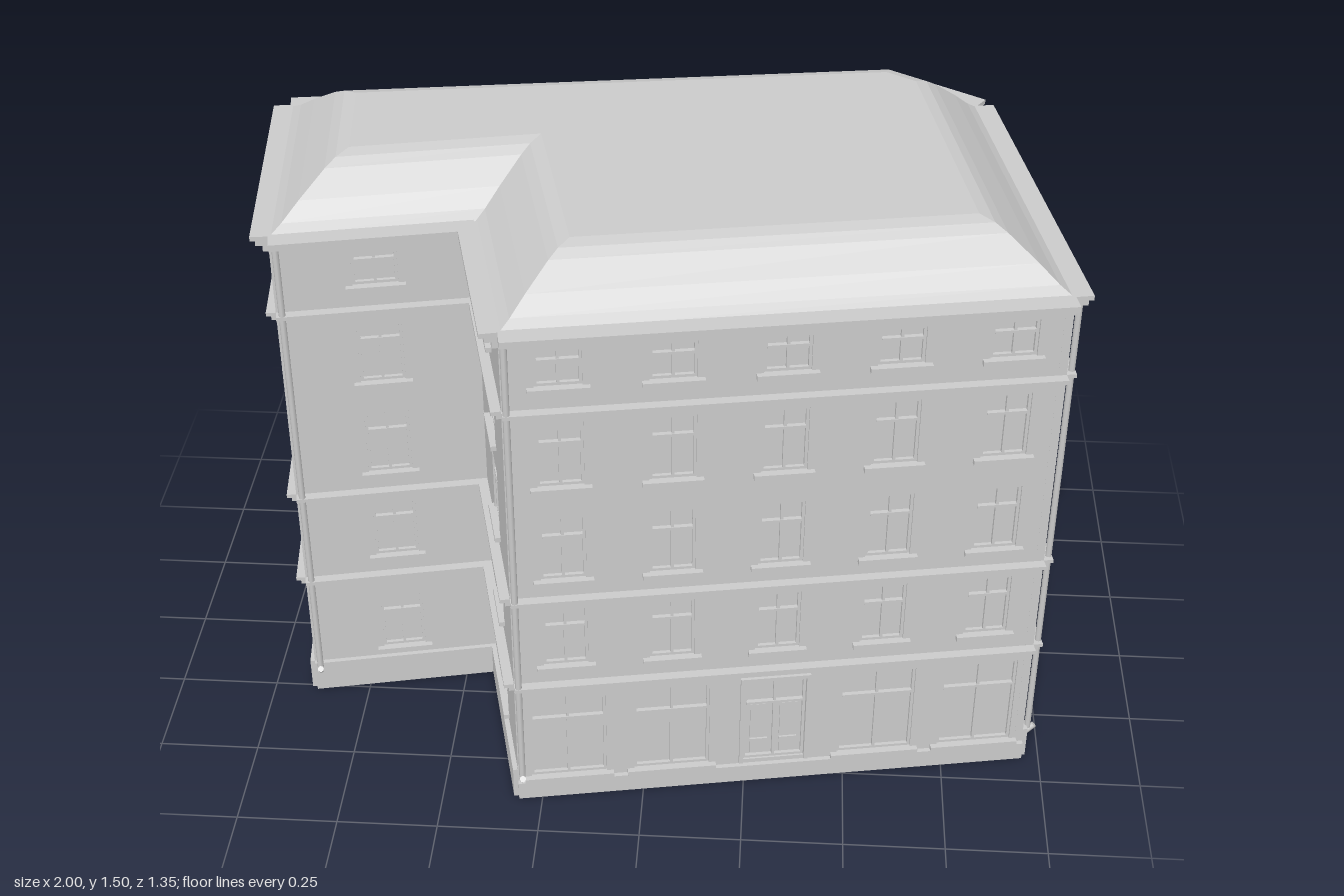
import * as THREE from 'three';
import { mergeGeometries } from 'three/addons/utils/BufferGeometryUtils.js';

// Wall corners (x, z), running to the right as seen from outside
const corners = [
  [-0.31, 0.63], [0.955, 0.405], [0.785, -0.51], [0.587, -0.637],
  [-0.965, -0.405], [-0.89, 0.255], [-0.422, 0.155],
];
const wallTop = 1.365;
// Bottom and top of the windows on each floor
const floors = [[0.116, 0.287], [0.422, 0.594], [0.685, 0.865], [0.955, 1.13], [1.23, 1.327]];

// Window centres along each wall, as fractions of its length
const evenly = (n) => Array.from({ length: n }, (_, i) => (i + 0.5) / n);
const walls = [
  { name: 'frontWall', at: evenly(5), shop: true, pipes: [0.008] },
  { name: 'rightWall', at: [0.15, 0.445, 0.805], pipes: [0.02, 0.61] },
  { name: 'chamferWall', at: evenly(1) },
  { name: 'backWall', at: evenly(6) },
  { name: 'leftWall', at: evenly(2) },
  { name: 'wingFrontWall', at: evenly(1), pipes: [0.03] },
  { name: 'stepWall', at: evenly(1) },
];

const material = new THREE.MeshStandardMaterial({ color: 0xcccccc });
const roofMaterial = new THREE.MeshStandardMaterial({ color: 0xcccccc, flatShading: true, side: THREE.DoubleSide });

// Box given by its limits
function box(x0, x1, y0, y1, z0, z1) {
  return new THREE.BoxGeometry(x1 - x0, y1 - y0, z1 - z0)
    .translate((x0 + x1) / 2, (y0 + y1) / 2, (z0 + z1) / 2);
}

function addMesh(group, name, geometries, mat = material) {
  if (!geometries.length) return;
  const mesh = new THREE.Mesh(mergeGeometries(geometries), mat);
  mesh.name = name;
  group.add(mesh);
}

function rectangle(type, { x0, x1, y0, y1 }) {
  const r = new type();
  r.moveTo(x0, y0).lineTo(x1, y0).lineTo(x1, y1).lineTo(x0, y1).closePath();
  return r;
}

// Frame, mullion and transom of one opening
function windowBars({ x0, x1, y0, y1, split }) {
  const t = 0.007, back = -0.016, front = -0.005;
  const mid = (x0 + x1) / 2, cross = y0 + (y1 - y0) * split;
  return [
    box(x0, x0 + t, y0, y1, back, front), box(x1 - t, x1, y0, y1, back, front),
    box(x0 + t, x1 - t, y0, y0 + t, back, front), box(x0 + t, x1 - t, y1 - t, y1, back, front),
    box(mid - t / 2, mid + t / 2, y0 + t, y1 - t, back, front),
    box(x0 + t, x1 - t, cross - t / 2, cross + t / 2, back, front + 0.002),
  ];
}

// One facade in local space: x along the wall, z outward
function createWall({ name, at, shop, pipes = [] }, length) {
  const group = new THREE.Group();
  group.name = name;
  const openings = [];
  floors.forEach(([y0, y1], floor) => at.forEach((f, i) => {
    const ground = shop && floor === 0;
    const door = ground && i === 2;
    const half = door ? 0.077 : ground ? 0.094 : 0.054;
    openings.push({
      x0: f * length - half, x1: f * length + half, door, ground,
      y0: ground ? 0.062 : y0, y1: ground ? 0.323 : y1, split: ground ? 0.7 : 0.68,
    });
  }));

  // Wall slab with openings
  const shape = rectangle(THREE.Shape, { x0: 0, x1: length, y0: 0, y1: wallTop });
  openings.forEach((o) => shape.holes.push(rectangle(THREE.Path, o)));
  addMesh(group, 'wallSurface', [
    new THREE.ExtrudeGeometry(shape, { depth: 0.02, bevelEnabled: false }).translate(0, 0, -0.02),
  ]);

  // Windows, sills and door
  addMesh(group, 'windowPanes', openings.map((o) => box(o.x0, o.x1, o.y0, o.y1, -0.019, -0.014)));
  addMesh(group, 'windowFrames', openings.flatMap(windowBars));
  addMesh(group, 'windowSills', openings.filter((o) => !o.door).map((o) =>
    box(o.x0 - 0.017, o.x1 + 0.017, o.y0 - 0.013, o.y0, -0.012, 0.014)));
  addMesh(group, 'doorPanels', openings.filter((o) => o.door).flatMap((o) => {
    const mid = (o.x0 + o.x1) / 2;
    return [-1, 1].flatMap((s) => [[0.075, 0.12], [0.13, 0.235]].map(([a, b]) =>
      box(mid + s * 0.037 - 0.022, mid + s * 0.037 + 0.022, a, b, -0.015, -0.009)));
  }));
  addMesh(group, 'doorSurround', openings.filter((o) => o.door).flatMap((o) => [
    box(o.x0 - 0.01, o.x0, 0.055, 0.333, 0, 0.008), box(o.x1, o.x1 + 0.01, 0.055, 0.333, 0, 0.008),
    box(o.x0, o.x1, 0.323, 0.333, 0, 0.008),
  ]));
  if (shop) addMesh(group, 'shopLintel', [box(0.02, length - 0.02, 0.342, 0.355, 0, 0.008)]);

  // Plinth, string courses and stepped cornice
  addMesh(group, 'plinth', [box(0, length, 0, shop ? 0.05 : 0.088, -0.01, 0.012)]);
  addMesh(group, 'stringCourses', [0.37, 0.635, 1.172].flatMap((y) => [
    box(0, length, y - 0.01, y, -0.01, 0.024), box(0, length, y - 0.02, y - 0.01, -0.01, 0.012),
  ]));
  addMesh(group, 'cornice', [
    box(0, length, 1.34, 1.356, -0.01, 0.014), box(0, length, 1.356, 1.368, -0.01, 0.03),
    box(0, length, 1.368, 1.38, -0.02, 0.042),
  ]);

  // Downpipes with a short outlet
  addMesh(group, 'downpipes', pipes.flatMap((f) => [
    new THREE.CylinderGeometry(0.008, 0.008, 1.28, 8).translate(f * length, 0.72, 0.016),
    new THREE.CylinderGeometry(0.008, 0.008, 0.03, 8).rotateX(0.8).translate(f * length, 0.075, 0.022),
  ]));
  return group;
}

// Footprint moved inward by d
function inset(d) {
  const normal = (i) => {
    const a = corners[i], b = corners[(i + 1) % corners.length];
    return new THREE.Vector2(a[1] - b[1], b[0] - a[0]).normalize();
  };
  return corners.map(([x, z], i) => {
    const n1 = normal((i + corners.length - 1) % corners.length), n2 = normal(i);
    const k = d / (1 + n1.dot(n2));
    return [x - k * (n1.x + n2.x), z - k * (n1.y + n2.y)];
  });
}

// Curved hipped roof: inset rings closed by a flat top
function createRoof() {
  const group = new THREE.Group();
  group.name = 'roof';
  const profile = [[0, 1.375], [0.03, 1.395], [0.07, 1.43], [0.13, 1.477], [0.155, 1.492], [0.185, 1.5]];
  const rings = profile.map(([d, y]) => inset(d).map(([x, z]) => [x, y, z]));
  const points = [];
  for (let r = 0; r + 1 < rings.length; r++) {
    for (let i = 0; i < corners.length; i++) {
      const j = (i + 1) % corners.length;
      const a = rings[r][i], b = rings[r][j], c = rings[r + 1][j], d = rings[r + 1][i];
      points.push(...a, ...b, ...c, ...a, ...c, ...d);
    }
  }
  const slopes = new THREE.BufferGeometry();
  slopes.setAttribute('position', new THREE.Float32BufferAttribute(points, 3));
  slopes.computeVertexNormals();
  addMesh(group, 'roofSlopes', [slopes], roofMaterial);

  const top = new THREE.Shape(rings.at(-1).map(([x, , z]) => new THREE.Vector2(x, -z)));
  addMesh(group, 'roofTop', [new THREE.ShapeGeometry(top).rotateX(-Math.PI / 2).translate(0, 1.5, 0)], roofMaterial);
  return group;
}

export function createModel() {
  const model = new THREE.Group();
  model.name = 'cornerBuilding';
  walls.forEach((wall, i) => {
    const a = corners[i], b = corners[(i + 1) % corners.length];
    const dx = b[0] - a[0], dz = b[1] - a[1];
    const group = createWall(wall, Math.hypot(dx, dz));
    group.position.set(a[0], 0, a[1]);
    group.rotation.y = -Math.atan2(dz, dx);
    model.add(group);
  });
  model.add(createRoof());
  return model;
}
